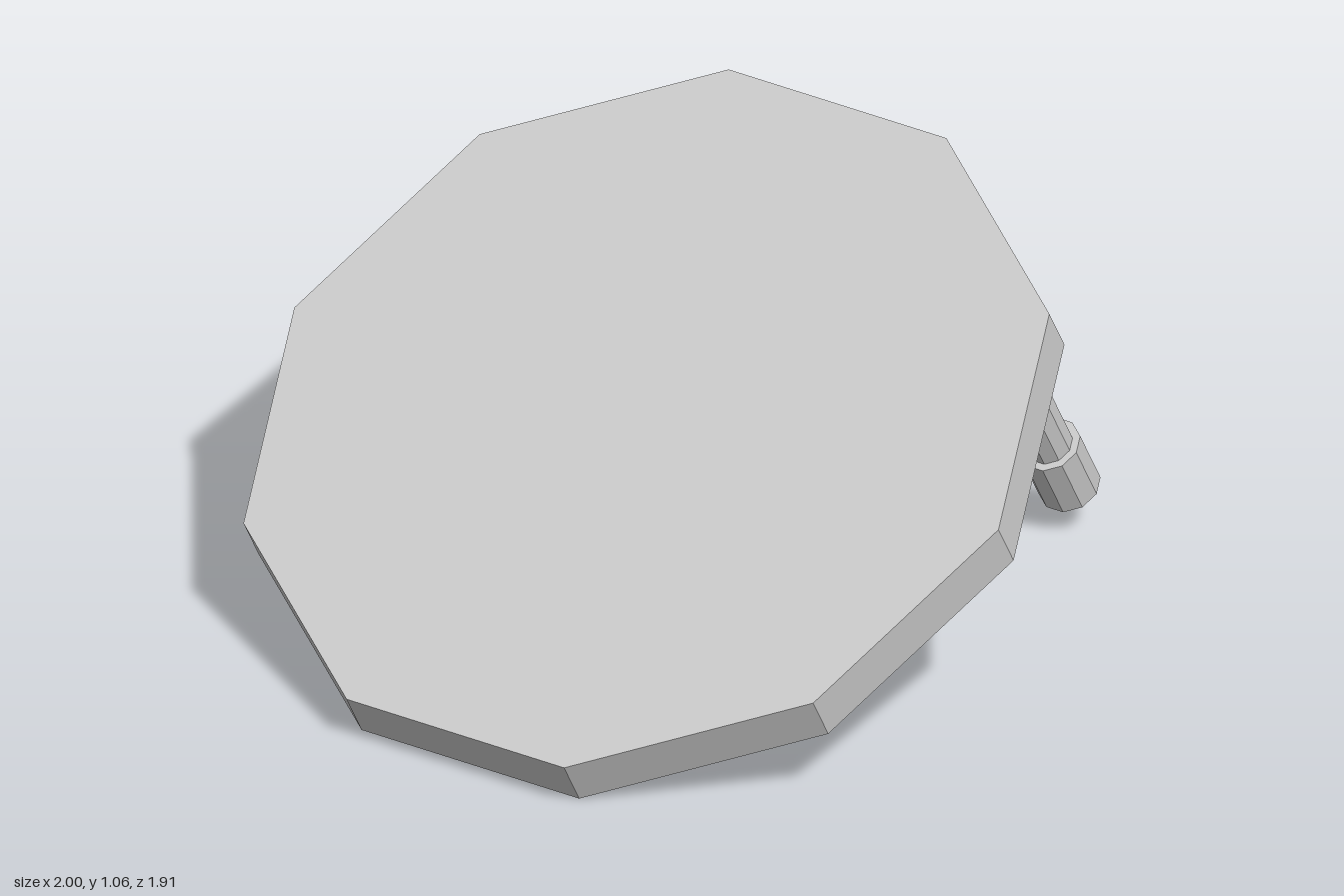
import * as THREE from 'three';

export function createModel() {
  const model = new THREE.Group();
  model.name = 'tiltedDisc';
  const material = new THREE.MeshStandardMaterial({ color: 0xcccccc, flatShading: true });
  const sides = 10;
  const thickness = 0.13;

  const add = (parent, name, geometry, y = 0) => {
    const mesh = new THREE.Mesh(geometry, material);
    mesh.name = name;
    mesh.position.y = y;
    parent.add(mesh);
    return mesh;
  };
  const prism = (radius, height) =>
    new THREE.CylinderGeometry(radius, radius, height, sides, 1, false, Math.PI / 2);

  // Everything is built upright, then leaned forward by 30 degrees
  model.add(new THREE.Group());
  const body = model.children[0];
  body.name = 'leaningBody';
  body.position.set(0, 0.532, 0.095);
  body.rotation.x = Math.PI / 6;

  // Ten-sided slab
  add(body, 'slab', prism(1, thickness));

  // Two rear legs, each ending in a thicker foot with a slightly domed sole
  const footHeight = 0.175;
  const legLength = 0.80;
  [['rightLeg', -0.495], ['leftLeg', 0.53]].forEach(([name, x]) => {
    const leg = new THREE.Group();
    leg.name = name;
    leg.position.set(x, -thickness / 2, -0.64);
    add(leg, 'shaft', prism(0.058, legLength - 0.05), -(legLength - 0.05) / 2);
    add(leg, 'foot', prism(0.077, footHeight), -legLength + footHeight / 2);
    const sole = new THREE.ConeGeometry(0.077, 0.007, sides, 1, true, Math.PI / 2);
    sole.rotateX(Math.PI);
    add(leg, 'sole', sole, -legLength - 0.0035);
    body.add(leg);
  });

  return model;
}
